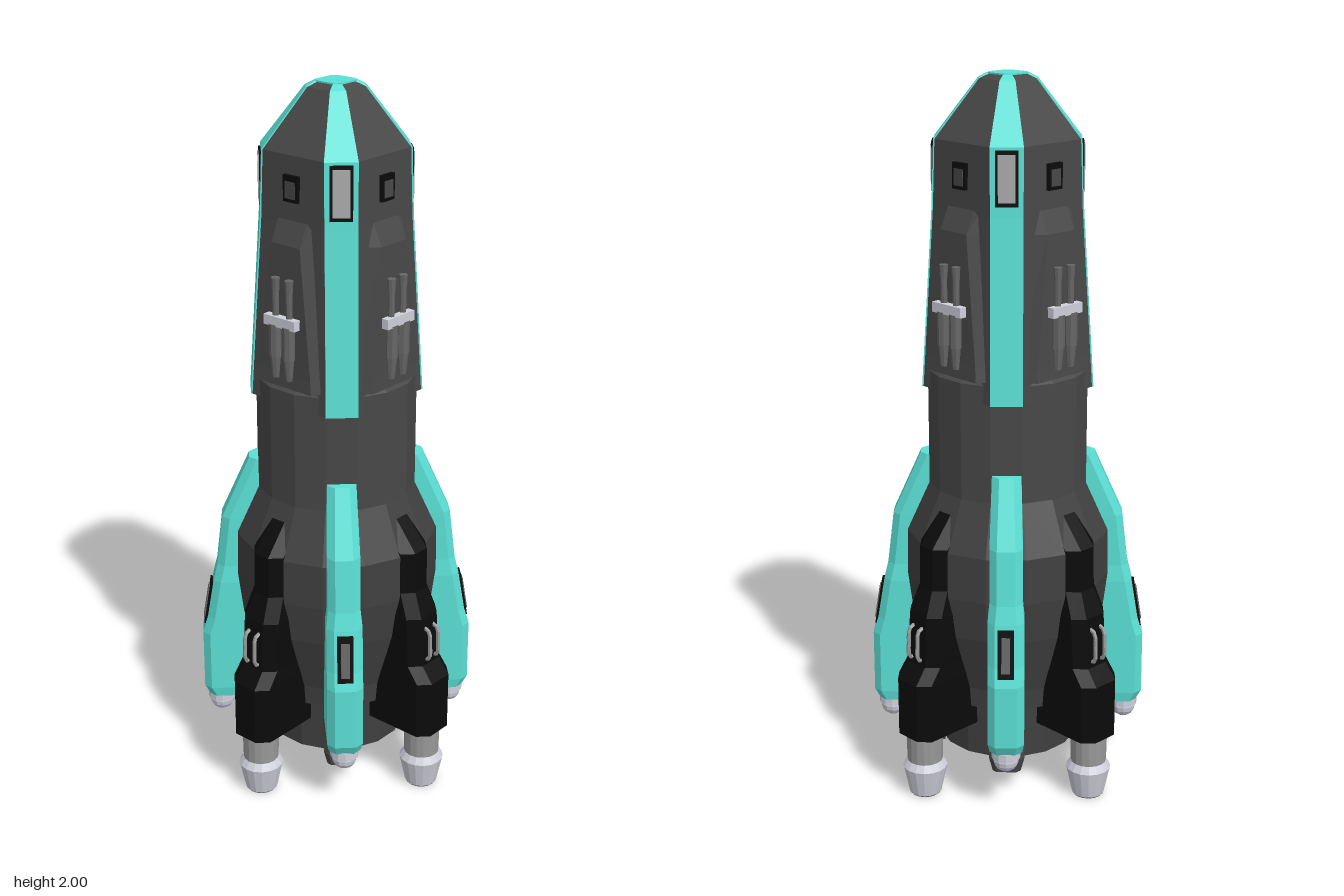
import * as THREE from 'three';

const mat = (color) => new THREE.MeshStandardMaterial({ color, flatShading: true });

// Skin a stack of cross-sections (bottom to top, counter-clockwise from above), capped at both ends
function loft(rows) {
  const n = rows[0].pts.length, pos = [];
  const put = (r, i) => pos.push(r.pts[i % n][0], r.y, r.pts[i % n][1]);
  for (let k = 0; k + 1 < rows.length; k++) {
    const a = rows[k], b = rows[k + 1];
    for (let i = 0; i < n; i++) {
      put(a, i); put(a, i + 1); put(b, i + 1);
      put(a, i); put(b, i + 1); put(b, i);
    }
  }
  const bottom = rows[0], top = rows[rows.length - 1];
  for (let i = 1; i + 1 < n; i++) {
    put(top, 0); put(top, i); put(top, i + 1);
    put(bottom, 0); put(bottom, i + 1); put(bottom, i);
  }
  const g = new THREE.BufferGeometry();
  g.setAttribute('position', new THREE.Float32BufferAttribute(pos, 3));
  g.computeVertexNormals();
  return g;
}

// Pod section: half width w, outer reach z, chamfer c, buried back at z = back
const podRow = (back, c) => ([y, z, w]) => ({
  y, pts: [[-w, back], [-w, z - c], [-w + c, z], [w - c, z], [w, z - c], [w, back]],
});

// Hull section: octagon with flats at a and corners at b
const octRow = ([y, a, b]) => ({
  y, pts: [[-a, -b], [-a, b], [-b, a], [b, a], [a, b], [a, -b], [b, -a], [-b, -a]],
});

export function createModel() {
  const root = new THREE.Group();
  const teal = mat(0x5be0d5), dark = mat(0x484848), skirtGrey = mat(0x404040), black = mat(0x0b0b0b);
  const grey = mat(0x999999), pale = mat(0xd0d0dc), gunGrey = mat(0x666666), glass = mat(0xaaaaaa);
  dark.side = skirtGrey.side = THREE.DoubleSide;

  const add = (parent, name, geo, material, x = 0, y = 0, z = 0) => {
    const m = new THREE.Mesh(geo, material);
    m.name = name;
    m.position.set(x, y, z);
    parent.add(m);
    return m;
  };
  const box = (w, h, d) => new THREE.BoxGeometry(w, h, d);
  const cyl = (top, bottom, h, n = 12) => new THREE.CylinderGeometry(top, bottom, h, n);

  // Tapered upper hull
  const hull = [[1.15, 0.195, 0.135], [1.65, 0.172, 0.112], [1.83, 0.168, 0.107], [1.985, 0.068, 0.04], [1.996, 0.045, 0.03]];
  add(root, 'upperHull', loft(hull.map(octRow)), dark);
  add(root, 'noseCap', loft([[1.985, 0.045, 0.03], [2, 0.045, 0.03]].map(octRow)), teal);

  // Round middle hull, flared skirt and recessed base
  const lathe = (pts) => new THREE.LatheGeometry(pts.map(([r, y]) => new THREE.Vector2(r, y)), 16, Math.PI / 16);
  add(root, 'middleHull', lathe([[0.224, 0.86], [0.224, 1.2], [0.19, 1.225]]), dark);
  add(root, 'skirt', lathe([[0, 0.16], [0.15, 0.16], [0.17, 0.09], [0.2, 0.09], [0.205, 0.25], [0.225, 0.25],
    [0.23, 0.31], [0.275, 0.48], [0.29, 0.6], [0.288, 0.73], [0.224, 0.87]]), skirtGrey);

  // Shared geometries for the repeated parts
  const strip = loft(hull.map(([y, a, b]) => {
    const d = (a + b) / Math.SQRT2 + 0.003, w = (a - b) / Math.SQRT2 + 0.001;
    return { y: y === 1.996 ? 1.998 : y, pts: [[-w, d - 0.03], [-w, d], [w, d], [w, d - 0.03]] };
  }));
  const tealPod = loft([[0.19, 0.375, 0.045], [0.22, 0.39, 0.05], [0.4, 0.39, 0.05], [0.45, 0.375, 0.05],
    [0.57, 0.355, 0.05], [0.62, 0.343, 0.045], [0.77, 0.325, 0.045], [0.95, 0.245, 0.04]].map(podRow(0.15, 0.02)));
  const blackPod = loft([[0.19, 0.39, 0.068], [0.36, 0.39, 0.068], [0.405, 0.355, 0.066], [0.55, 0.345, 0.064],
    [0.62, 0.315, 0.055], [0.74, 0.312, 0.055], [0.83, 0.235, 0.052]].map(podRow(0.15, 0.03)));
  const panel = loft([[1.21, 0.216, 0.1, 0.13], [1.25, 0.213, 0.095, 0.125], [1.6, 0.2, 0.05, 0.08], [1.66, 0.172, 0.05, 0.07]]
    .map(([y, z, w, wb]) => ({ y, pts: [[-wb, 0.15], [-wb, 0.165], [-w, z], [w, z], [wb, 0.165], [wb, 0.15]] })));
  const staple = new THREE.TubeGeometry(new THREE.CatmullRomCurve3([
    [0, 0.42, 0.33], [0, 0.425, 0.362], [0, 0.47, 0.365], [0, 0.51, 0.36], [0, 0.52, 0.33],
  ].map((p) => new THREE.Vector3(...p))), 10, 0.006, 5);

  for (let i = 0; i < 4; i++) {
    // Axis side: raised panel, hatch, twin guns, black engine pod
    const side = new THREE.Group();
    side.name = 'side' + (i + 1);
    side.rotation.y = i * Math.PI / 2;
    root.add(side);
    add(side, 'raisedPanel', panel, dark);
    add(side, 'hatchFrame', box(0.05, 0.07, 0.02), black, 0, 1.745, 0.17);
    add(side, 'hatch', box(0.034, 0.045, 0.006), dark, 0, 1.742, 0.179);
    add(side, 'gunClamp', box(0.11, 0.028, 0.05), pale, 0, 1.395, 0.204);
    for (const s of [-1, 1]) {
      add(side, 'gunBarrel', cyl(0.009, 0.009, 0.12, 8), gunGrey, s * 0.024, 1.44, 0.214);
      add(side, 'gunMuzzle', cyl(0.012, 0.01, 0.035, 8), gunGrey, s * 0.024, 1.495, 0.214);
      add(side, 'gunBody', cyl(0.018, 0.018, 0.09, 8), gunGrey, s * 0.024, 1.34, 0.216);
      add(side, 'gunTail', cyl(0.016, 0.01, 0.06, 8), gunGrey, s * 0.024, 1.265, 0.216);
      add(side, 'handle', staple, grey, s * 0.018, 0, 0);
    }
    add(side, 'enginePod', blackPod, black);
    add(side, 'engineNeck', cyl(0.052, 0.05, 0.1, 16), grey, 0, 0.145, 0.328);
    add(side, 'engineCollar', cyl(0.05, 0.063, 0.02, 16), pale, 0, 0.095, 0.328);
    add(side, 'engineBell', cyl(0.063, 0.046, 0.08, 16), pale, 0, 0.045, 0.328);
    add(side, 'engineLip', cyl(0.046, 0.042, 0.005, 16), grey, 0, 0.0025, 0.328);

    // Diagonal: coloured strip with window, booster pod, tail fin
    const corner = new THREE.Group();
    corner.name = 'corner' + (i + 1);
    corner.rotation.y = (i + 0.5) * Math.PI / 2;
    root.add(corner);
    add(corner, 'strip', strip, teal);
    add(corner, 'windowFrame', box(0.06, 0.145, 0.02), black, 0, 1.75, 0.193);
    add(corner, 'window', box(0.046, 0.125, 0.006), glass, 0, 1.75, 0.203);
    add(corner, 'boosterPod', tealPod, teal);
    const vent = add(corner, 'ventFrame', box(0.044, 0.135, 0.02), black, 0, 0.49, 0.365);
    const slot = add(corner, 'ventSlot', box(0.024, 0.1, 0.006), gunGrey, 0, 0.49, 0.376);
    vent.rotation.x = slot.rotation.x = -0.16;
    add(corner, 'boosterCollar', cyl(0.04, 0.04, 0.025, 12), pale, 0, 0.18, 0.34);
    add(corner, 'boosterKnob', new THREE.SphereGeometry(0.036, 12, 8), pale, 0, 0.162, 0.34);
    add(corner, 'tailFin', loft([[0.06, 0.235, 0.04], [0.1, 0.24, 0.05], [0.29, 0.235, 0.05]].map(podRow(0.185, 0.012))), dark);
  }
  return root;
}
